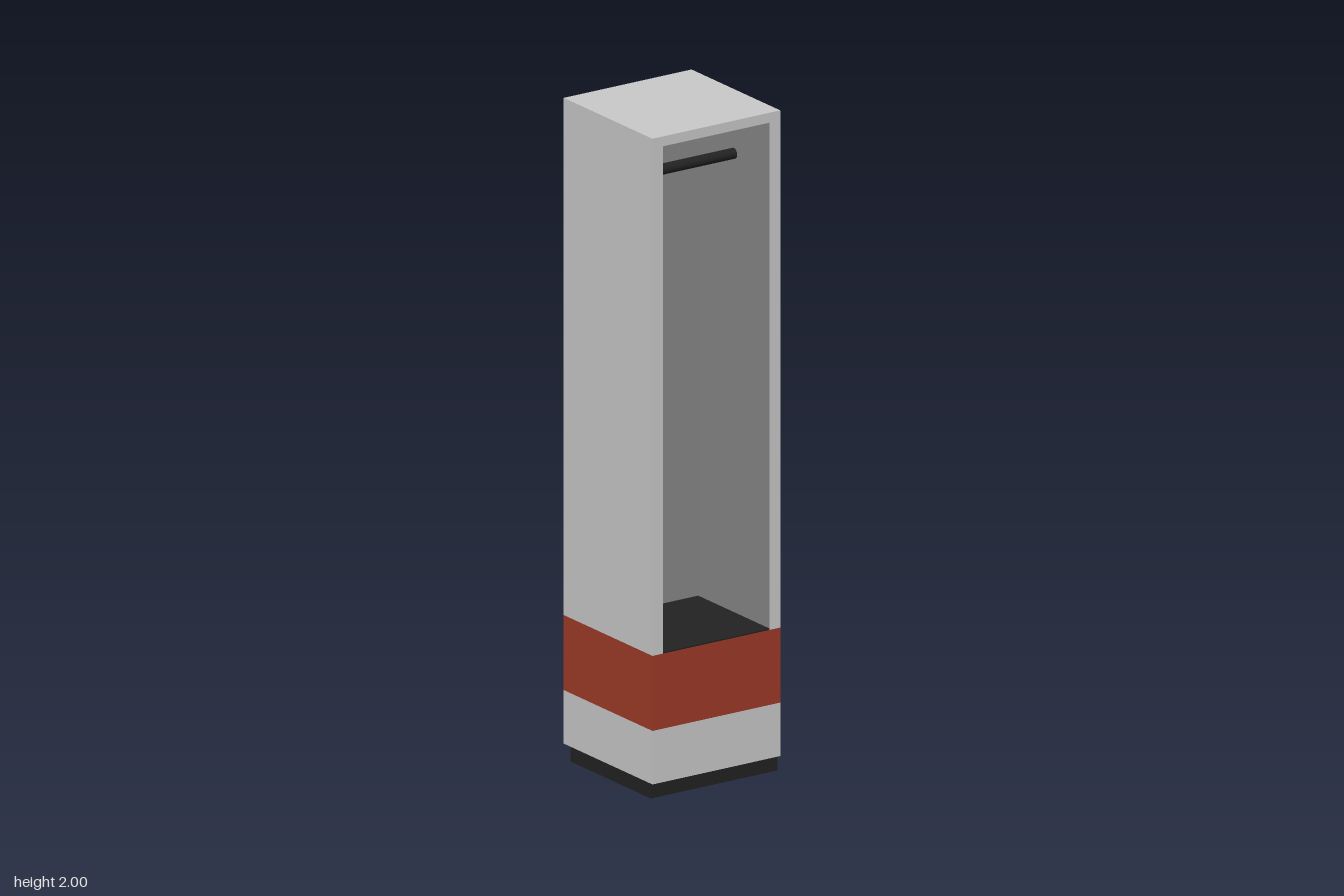
import * as THREE from 'three';

const mat = (name, color) => {
  const m = new THREE.MeshStandardMaterial({ color });
  m.name = name;
  return m;
};

export function createModel() {
  const shell = mat('light grey shell', 0xcacaca);
  const lining = mat('grey lining', 0x888888);
  const red = mat('red band', 0x9e3b28);
  const black = mat('black', 0x222222);

  const group = new THREE.Group();
  group.name = 'openCabinet';

  // Box given by its min and max corners; liningFace is the side facing the cavity
  // (0 +x, 1 -x, 2 +y, 3 -y, 4 +z, 5 -z)
  function box(name, min, max, material, liningFace = -1) {
    const size = max.map((v, i) => v - min[i]);
    const materials = liningFace < 0 ? material
      : Array.from({ length: 6 }, (_, i) => (i === liningFace ? lining : material));
    const mesh = new THREE.Mesh(new THREE.BoxGeometry(...size), materials);
    mesh.position.set(...min.map((v, i) => v + size[i] / 2));
    mesh.name = name;
    group.add(mesh);
  }

  const R = 0.223;      // half width and half depth
  const IN = 0.186;     // half width of the cavity
  const BACK = -0.136;  // cavity back wall
  const FLOOR = 0.435;  // top of the red band
  const CEIL = 1.97;    // cavity ceiling

  // Plinth and lower body
  box('plinth', [-0.221, 0, -0.192], [0.221, 0.046, 0.212], black);
  box('lowerBody', [-R, 0.046, -R], [R, 0.208, R], shell);
  box('redBand', [-R, 0.208, -R], [R, FLOOR, R], red);

  // Walls around the open cavity
  box('leftWall', [IN, FLOOR, -R], [R, 2, R], shell, 1);
  box('rightWall', [-R, FLOOR, -R], [-IN, 2, R], shell, 0);
  box('backWall', [-IN, FLOOR, -R], [IN, 2, BACK], shell, 4);
  box('roof', [-IN, CEIL, BACK], [IN, 2, R], shell, 3);
  box('cavityFloor', [-IN, FLOOR, BACK], [IN, FLOOR + 0.004, R], black);

  // Hanging rail across the cavity
  const rail = new THREE.Mesh(new THREE.CylinderGeometry(0.016, 0.016, 2 * IN, 16), black);
  rail.rotation.z = Math.PI / 2;
  rail.position.set(0, 1.828, 0.044);
  rail.name = 'hangingRail';
  group.add(rail);

  return group;
}
